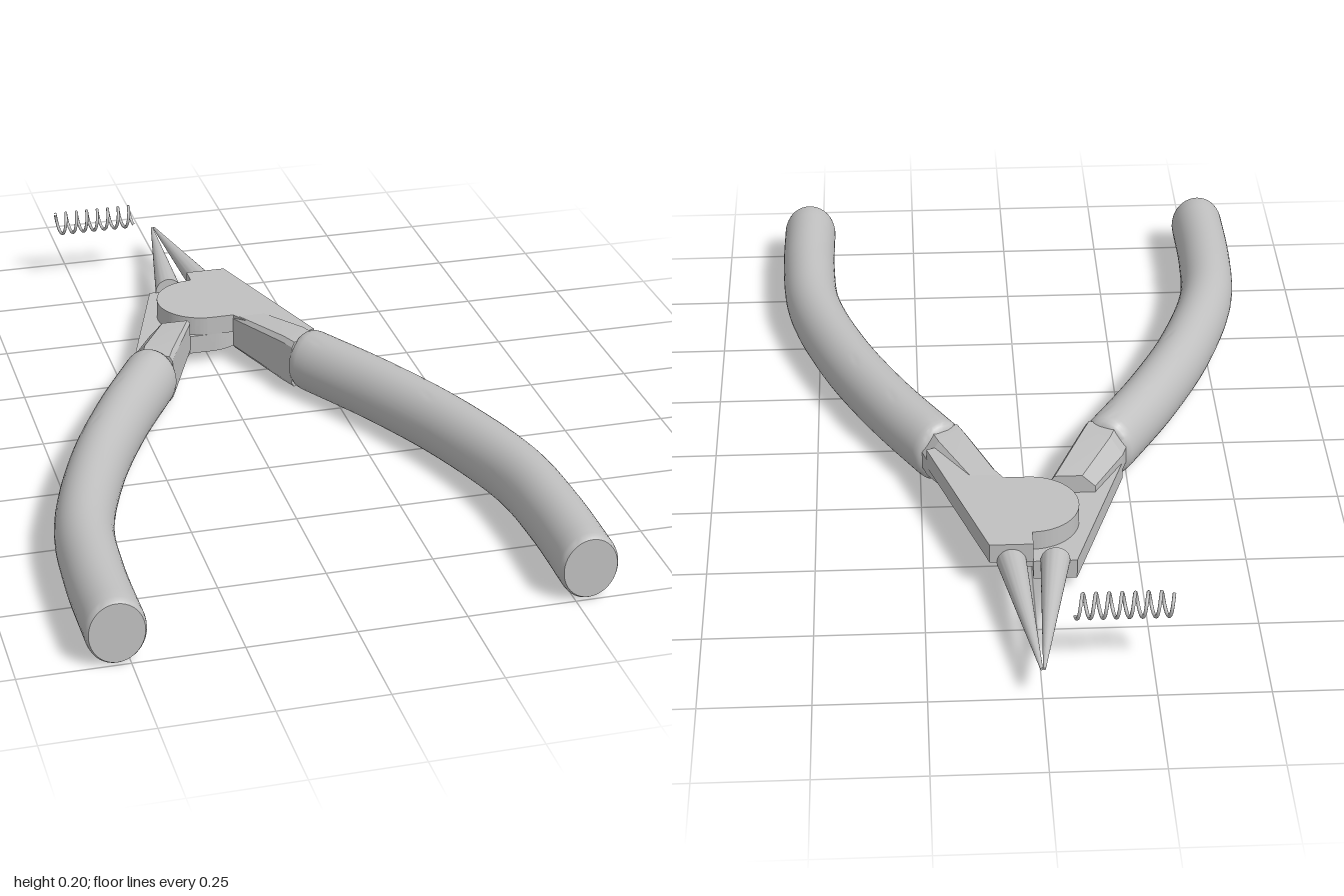
import * as THREE from 'three';
import { toCreasedNormals } from 'three/addons/utils/BufferGeometryUtils.js';

const steel = new THREE.MeshStandardMaterial({ color: 0xc0c0c0 });
steel.name = 'grey steel';

const MID = 0.083; // height of the plane where the two halves meet

function mesh(name, geometry) {
  const m = new THREE.Mesh(geometry, steel);
  m.name = name;
  return m;
}

// Capped loft: each section has a centre (x, z), a heading (tx, tz) and half sizes a, b
function loft(sections, outline, crease) {
  const pos = [], index = [], n = outline.length;
  for (const s of sections) {
    const l = Math.hypot(s.tx, s.tz);
    for (const [u, v] of outline) {
      pos.push(s.x + (s.tz / l) * u * s.a, v * s.b, s.z - (s.tx / l) * u * s.a);
    }
  }
  const last = (sections.length - 1) * n;
  for (let j = 0; j < n; j++) {
    const k = (j + 1) % n;
    for (let r = 0; r < last; r += n) {
      index.push(r + j, r + k, r + n + k, r + j, r + n + k, r + n + j);
    }
    index.push(last + n, k, j, last + n + 1, last + j, last + k);
  }
  for (const s of [sections[0], sections[sections.length - 1]]) pos.push(s.x, 0, s.z);
  const g = new THREE.BufferGeometry();
  g.setAttribute('position', new THREE.Float32BufferAttribute(pos, 3));
  g.setIndex(index);
  return toCreasedNormals(g, crease);
}

const circle = Array.from({ length: 40 }, (_, i) => {
  const t = (i / 40) * Math.PI * 2;
  return [Math.cos(t), Math.sin(t)];
});

// Curved grip with softened ends
function handleGeometry() {
  const path = new THREE.CatmullRomCurve3([
    [0.195, -0.14], [0.328, 0.09], [0.434, 0.317], [0.512, 0.566], [0.53, 0.767], [0.53, 1],
  ].map(([x, z]) => new THREE.Vector3(x, 0, z)));
  const stops = [[0, 0.8], [0.006, 0.92], [0.014, 0.98], [0.025, 1]];
  for (let i = 1; i <= 36; i++) stops.push([0.025 + 0.96 * (i / 36), 1]);
  stops.push([0.994, 0.975], [1, 0.91]);
  return loft(stops.map(([u, k]) => {
    const p = path.getPointAt(u), t = path.getTangentAt(u);
    return { x: p.x, z: p.z, tx: t.x, tz: t.z, a: 0.068 * k, b: 0.08 * k };
  }), circle, 0.7);
}

// Flat half-thickness joint plate: a disc that runs out into the shoulder
function plateGeometry() {
  const s = new THREE.Shape();
  s.moveTo(0, 0.55);
  s.lineTo(0, 0.598);
  s.lineTo(0.1, 0.598);
  s.lineTo(0.235, 0.195);
  s.lineTo(0.15, 0.16);
  s.lineTo(0.057, 0.322);
  s.lineTo(0, 0.322);
  s.absarc(0, 0.436, 0.114, -Math.PI / 2, -Math.PI * 1.5, true);
  const g = new THREE.ExtrudeGeometry(s, { depth: 0.048, bevelEnabled: false, curveSegments: 40 });
  g.rotateX(-Math.PI / 2);
  return toCreasedNormals(g, 0.5);
}

// Chamfered neck between plate and grip
function neckGeometry() {
  const outline = [
    [1, -0.35], [1, 0.35], [0.4, 1], [-0.85, 1], [-1, 0.8], [-1, -0.8], [-0.85, -1], [0.4, -1],
  ];
  return loft([
    { x: 0.108, z: -0.322, tx: 0, tz: 1, a: 0.052, b: 0.047 },
    { x: 0.185, z: -0.17, tx: 0.5, tz: 0.87, a: 0.057, b: 0.062 },
    { x: 0.2, z: -0.13, tx: 0.5, tz: 0.87, a: 0.055, b: 0.062 },
  ], outline, 0.1);
}

// Slim conical jaw
function jawGeometry() {
  return loft([
    { x: 0.05, z: -0.595, tx: 0, tz: -1, a: 0.034, b: 0.035 },
    { x: 0.003, z: -1, tx: 0, tz: -1, a: 0.003, b: 0.003 },
  ], circle, 0.7);
}

function half(name) {
  const g = new THREE.Group();
  g.name = name;
  g.add(
    mesh('handle', handleGeometry()),
    mesh('neck', neckGeometry()),
    mesh('jointPlate', plateGeometry()),
    mesh('jaw', jawGeometry()),
  );
  g.position.y = MID;
  return g;
}

// Loose coil spring lying along x
function springGeometry() {
  const turns = 7.5, r = 0.027, pts = [];
  for (let i = 0; i <= turns * 20; i++) {
    const t = (i / 20) * Math.PI * 2;
    pts.push(new THREE.Vector3(
      -0.29 + 0.215 * (i / (turns * 20)), 0.172 + r * Math.cos(t), -0.897 - r * Math.sin(t)));
  }
  return new THREE.TubeGeometry(new THREE.CatmullRomCurve3(pts), 300, 0.004, 8);
}

export function createModel() {
  const model = new THREE.Group();
  model.name = 'pliers';
  const left = half('leftHalf');
  // the other half is the same part turned over
  const right = half('rightHalf');
  right.rotation.z = Math.PI;
  model.add(left, right, mesh('spring', springGeometry()));
  return model;
}
